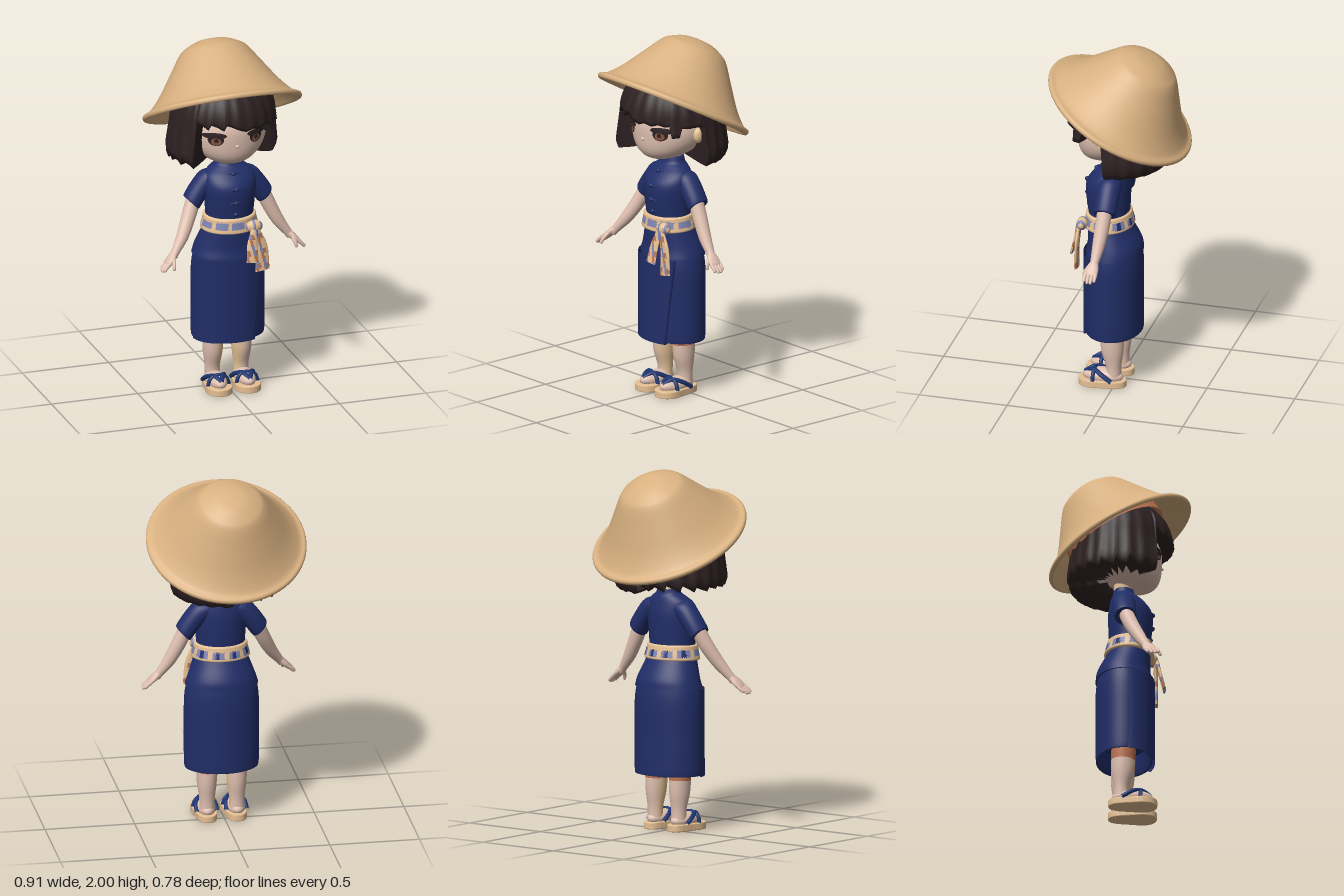
import * as THREE from 'three';
import { mergeVertices } from 'three/addons/utils/BufferGeometryUtils.js';

const mat = (name, color, side = THREE.FrontSide) => {
  const m = new THREE.MeshStandardMaterial({ color, side });
  m.name = name;
  return m;
};
const V = (x, y, z) => new THREE.Vector3(x, y, z);

// Tube of elliptical rings through [x, y, z, radiusA, radiusB], capped at both ends
function sweep(pts, seg = 28, sub = 4) {
  const path = new THREE.CatmullRomCurve3(pts.map(p => V(p[0], p[1], p[2])), false, 'catmullrom');
  const radii = new THREE.CatmullRomCurve3(pts.map(p => V(p[3], p[4] ?? p[3], 0)), false, 'catmullrom');
  const n = (pts.length - 1) * sub;
  const dir = path.getPoint(1).sub(path.getPoint(0)).normalize();
  const a = dir.clone().cross(V(0, 0, 1)).normalize(), b = a.clone().cross(dir);
  const pos = [], idx = [];
  const ring = t => {
    const c = path.getPoint(t), r = radii.getPoint(t);
    for (let j = 0; j < seg; j++) {
      const k = j / seg * Math.PI * 2;
      const p = c.clone().addScaledVector(a, r.x * Math.cos(k)).addScaledVector(b, r.y * Math.sin(k));
      pos.push(p.x, p.y, p.z);
    }
    return c;
  };
  for (let i = 0; i <= n; i++) ring(i / n);
  for (let i = 0; i < n; i++) for (let j = 0; j < seg; j++) {
    const p = i * seg + j, q = i * seg + (j + 1) % seg;
    idx.push(p, p + seg, q, p + seg, q + seg, q);
  }
  for (const end of [0, 1]) {
    const s = pos.length / 3, c = ring(end);
    pos.push(c.x, c.y, c.z);
    for (let j = 0; j < seg; j++) {
      const p = s + j, q = s + (j + 1) % seg;
      idx.push(s + seg, end ? q : p, end ? p : q);
    }
  }
  return build(pos, idx);
}

// Surface over u (rightwards) and v (downwards)
function grid(nu, nv, f) {
  const pos = [], idx = [];
  for (let i = 0; i <= nu; i++) for (let j = 0; j <= nv; j++) pos.push(...f(i / nu, j / nv));
  for (let i = 0; i < nu; i++) for (let j = 0; j < nv; j++) {
    const a = i * (nv + 1) + j, b = a + nv + 1;
    idx.push(a, a + 1, b, a + 1, b + 1, b);
  }
  return build(pos, idx, true);
}

function build(pos, idx, weld) {
  let g = new THREE.BufferGeometry();
  g.setAttribute('position', new THREE.Float32BufferAttribute(pos, 3));
  g.setIndex(idx);
  if (weld) g = mergeVertices(g, 1e-5);
  g.computeVertexNormals();
  return g;
}

// Give every triangle a material index chosen from its centre
function paint(geo, pick) {
  const g = geo.toNonIndexed(), p = g.attributes.position;
  for (let i = 0; i < p.count; i += 3) {
    const c = V(0, 0, 0);
    for (let k = 0; k < 3; k++) c.add(V(p.getX(i + k), p.getY(i + k), p.getZ(i + k)));
    c.divideScalar(3);
    g.addGroup(i, 3, pick(c.x, c.y, c.z));
  }
  return g;
}

export function createModel() {
  const root = new THREE.Group();
  const straw = mat('straw', 0xd8b080, THREE.DoubleSide), hairM = mat('dark hair', 0x2e2122, THREE.DoubleSide);
  const skin = mat('skin', 0xdfc0b0), warm = mat('warm skin', 0xe6c498);
  const shade = mat('terracotta', 0xbd7350, THREE.DoubleSide), navy = mat('navy cloth', 0x212e68, THREE.DoubleSide);
  const cream = mat('cream cloth', 0xe6c093), lilac = mat('lilac cloth', 0x8086b4);
  const brown = mat('brown iris', 0x8a5540, THREE.DoubleSide), deep = mat('strap blue', 0x1d3570);
  const add = (name, geo, m, parent = root) => {
    const o = new THREE.Mesh(geo, m);
    o.name = name;
    parent.add(o);
    return o;
  };
  const ball = (name, m, x, y, z, rx, ry = rx, rz = rx, parent = root) => {
    const o = add(name, new THREE.SphereGeometry(1, 24, 16), m, parent);
    o.position.set(x, y, z);
    o.scale.set(rx, ry, rz);
    return o;
  };

  // Tilted straw hat with its inner band
  const hat = new THREE.Group();
  hat.name = 'hat';
  hat.position.set(-0.01, 1.625, 0);
  hat.rotation.x = -0.504;
  root.add(hat);
  const profile = [[0, .365], [.08, .355], [.17, .31], [.235, .205], [.32, .09], [.4, .015], [.43, -.012], [.443, 0],
    [.436, .018], [.4, .034], [.335, .105], [.252, .225], [.19, .315], [.15, .347], [.08, .377], [0, .385]];
  const curve = new THREE.SplineCurve(profile.map(p => new THREE.Vector2(...p)));
  add('hatShell', new THREE.LatheGeometry(curve.getPoints(75).map(p => p.setX(Math.max(0, p.x))), 64), straw, hat);
  add('hatBand', new THREE.CylinderGeometry(.275, .285, .09, 48, 1, true), shade, hat).position.y = 0.085;

  // Head with the jaw drawn forward
  const rx = .228, ry = .185, rz = .21, cy = 1.53, cz = .02;
  const jaw = y => y < cy ? .09 * ((cy - y) / ry) ** 2 : 0;
  const head = new THREE.SphereGeometry(1, 48, 32).scale(rx, ry, rz).translate(0, cy, cz);
  const hp = head.attributes.position;
  for (let i = 0; i < hp.count; i++) hp.setZ(i, hp.getZ(i) + jaw(hp.getY(i)));
  head.computeVertexNormals();
  add('head', head, skin);
  const faceZ = (x, y) => cz + jaw(y) + rz * Math.sqrt(Math.max(0, 1 - (x / rx) ** 2 - ((y - cy) / ry) ** 2));

  // Face details laid on the head's surface
  const spot = (name, m, x, y, a, b, lift) => {
    const g = new THREE.RingGeometry(0, 1, 28, 5).scale(a, b, 1).translate(x, y, 0), p = g.attributes.position;
    for (let i = 0; i < p.count; i++) p.setZ(i, faceZ(p.getX(i), p.getY(i)) + lift);
    g.computeVertexNormals();
    add(name, g, m);
  };
  for (const s of [-1, 1]) {
    const x = s * .115;
    spot('lash', hairM, x + s * .006, 1.541, .062, .018, .003);
    spot('eye', hairM, x, 1.519, .04, .036, .004);
    spot('iris', brown, x, 1.508, .026, .021, .006);
    spot('pupil', hairM, x, 1.515, .011, .012, .008);
    ball('ear', s > 0 ? warm : shade, s * .232, 1.51, .02, .025, .045, .036);
  }
  ball('nose', skin, 0, 1.475, faceZ(0, 1.475), .012, .009, .01);
  add('neck', sweep([[.008, 1.27, .015, .055], [.004, 1.34, .015, .052], [0, 1.42, .03, .06]]), warm);

  // Bobbed hair: one sheet with a fringe, side locks and a ragged hem
  const hem = s => {
    const jag = Math.abs((s * 3.5) % 1 - .5);
    if (s > -.85 && s < .8) return 1.575 + .035 * jag;
    if (s >= .8 && s < 1) return 1.52;
    if (s >= 1 && s < 1.5) return 1.57;
    return 1.33 + .045 * jag;
  };
  const bob = y => y > 1.6 ? .29 * Math.sqrt(Math.max(0, 1 - ((y - 1.6) / .27) ** 2))
    : y > 1.42 ? .29 + .025 * (1.6 - y) / .18 : .315 - .035 * ((1.42 - y) / .09) ** 2;
  add('hair', grid(128, 26, (u, v) => {
    const s = (u - .5) * Math.PI * 2, b = hem(s);
    const t = Math.min(1, v / .85), k = Math.max(0, (v - .85) / .15);
    const y = 1.87 - (1.87 - b) * (1 - Math.cos(t * Math.PI / 2));
    const r = (bob(y) + .006 * Math.cos(s * 22) * t * t) * (1 - .75 * k);
    return [r * Math.sin(s) - .008, y + .04 * k, r * Math.cos(s) * (Math.cos(s) < 0 ? .92 : 1)];
  }), hairM);

  // Short-sleeved jacket with a flared hem
  const C = .013;
  add('jacket', sweep([[C, .795, .02, .203, .156], [C, .85, .02, .185, .147], [C, .95, .045, .148, .122],
    [C, 1.0, .05, .134, .112], [C, 1.1, .055, .14, .12], [C, 1.2, .055, .148, .122], [C, 1.26, .04, .14, .098],
    [C, 1.295, .025, .105, .075], [C, 1.315, .02, .075, .062], [C, 1.345, .018, .064, .056]], 48), navy);
  for (const [y, z] of [[1.275, .125], [1.2, .178], [1.12, .177], [1.05, .166]]) {
    ball('button', navy, C, y, z, .013);
    ball('buttonLoop', navy, C, y, z - .004, .036, .008, .008);
  }

  // Wrapped skirt, hollow at the hem, with an overlapping front panel
  add('skirt', sweep([[C, .42, .022, .17, .125], [C, .335, .022, .188, .143], [C, .312, .022, .2, .152],
    [C, .34, .022, .207, .157], [C, .55, .022, .208, .157], [C, .72, .022, .206, .157], [C, .82, .022, .19, .146]], 48), navy);
  add('skirtPanel', grid(30, 12, (u, v) => {
    const y = .79 - .485 * v, end = Math.asin((.155 - .05 * v) / .21);
    const s = -1.45 + (end + 1.45) * Math.min(1, u * 1.035);
    const lift = u > .98 ? -.012 : .011 * Math.min(1, u * 3);
    return [C + (.207 + lift) * Math.sin(s), y, .022 + (.157 + lift) * Math.cos(s)];
  }), navy);

  // Checked sash with a knot and two hanging tails
  const cloth = [cream, lilac, shade, navy];
  const belt = sweep([[C, .945, .05, .15, .125], [C, .95, .05, .162, .138], [C, .97, .05, .159, .136], [C, 1.005, .052, .15, .129],
    [C, 1.025, .053, .147, .126], [C, 1.03, .053, .135, .112]], 72, 3);
  add('sash', paint(belt, (x, y, z) => {
    if (y < .967 || y > 1.005) return 0;
    const k = Math.floor((Math.atan2(z - .05, x - C) + Math.PI) / (Math.PI * 2) * 36) % 4;
    return k === 0 ? 0 : k === 2 && z < .05 ? 3 : 1;
  }), cloth);
  const knot = new THREE.SphereGeometry(1, 24, 16).scale(.048, .036, .032).translate(.115, .975, .178);
  add('knot', paint(knot, x => Math.floor(x * 70 + 20) % 3 === 0 ? 1 : 0), cloth);
  const checks = (x, y) => {
    const a = Math.floor((x + y * .25) * 60 + 100) % 3, b = Math.floor(y * 34) % 3;
    return a === 1 ? (b === 0 ? 2 : 1) : a === 2 && b === 1 ? 2 : 0;
  };
  for (const pts of [
    [[.115, .965, .195, .022, .014], [.15, .86, .198, .034, .011], [.155, .72, .2, .042, .01]],
    [[.11, .965, .2, .02, .014], [.09, .88, .22, .03, .01], [.085, .785, .243, .036, .009]],
  ]) add('sashTail', paint(sweep(pts, 32, 12), checks), cloth);

  // Arms, sleeves and hands; the right arm swings forward
  for (const s of [-1, 1]) {
    const swing = s < 0 ? .4 : .03, arm = new THREE.Group();
    arm.name = s > 0 ? 'leftArm' : 'rightArm';
    root.add(arm);
    const at = pts => pts.map(([x, y, z, a, b]) => [C + s * x, y, z + swing * Math.max(0, 1.12 - y), a, b]);
    add('sleeve', sweep(at([[.06, 1.25, .02, .045, .06], [.11, 1.228, .02, .06, .065], [.165, 1.17, .02, .058, .064],
      [.21, 1.105, .02, .056, .062], [.213, 1.1, .02, .048, .053]])), navy, arm);
    add('forearm', sweep(at([[.19, 1.14, .022, .042], [.24, 1.03, .025, .04], [.29, .935, .03, .034], [.34, .865, .035, .024],
      [.36, .84, .037, .024]])), skin, arm);
    add('palm', sweep(at([[.345, .862, .036, .02, .024], [.37, .837, .04, .019, .036], [.395, .812, .042, .014, .036],
      [.402, .805, .042, .007, .026]])), skin, arm);
    for (let i = 0; i < 4; i++) {
      const z = .014 + i * .019, l = [.8, 1, 1, .85][i];
      add('finger', sweep(at([[.39, .818, z, .011], [.39 + .025 * l, .818 - .022 * l, z, .01],
        [.39 + .042 * l, .818 - .04 * l, z, .008], [.39 + .046 * l, .818 - .044 * l, z, .003]]), 12), skin, arm);
    }
    add('thumb', sweep(at([[.36, .845, .06, .012], [.37, .815, .08, .011], [.375, .79, .086, .008], [.376, .785, .086, .003]]), 12), skin, arm);
  }

  // Legs, feet and strapped sandals
  for (const s of [-1, 1]) {
    const leg = new THREE.Group();
    leg.name = s > 0 ? 'leftLeg' : 'rightLeg';
    leg.position.x = C + s * .083;
    root.add(leg);
    add('shin', paint(sweep([[0, .05, .005, .042], [0, .12, .005, .043], [0, .21, .012, .054, .062], [0, .3, .015, .058, .066],
      [0, .45, .02, .062, .068]], 32, 6), (x, y, z) => y > .285 ? 2 : x * s < -.015 && z > -.02 ? 1 : 0), [skin, warm, shade], leg);
    ball('foot', skin, 0, .055, .065, .054, .045, .115, leg);
    const sole = new THREE.Shape();
    sole.moveTo(0, .062);
    sole.bezierCurveTo(.06, .062, .05, -.03, .066, -.1);
    sole.bezierCurveTo(.085, -.23, -.085, -.23, -.066, -.1);
    sole.bezierCurveTo(-.05, -.03, -.06, .062, 0, .062);
    const soleGeo = new THREE.ExtrudeGeometry(sole, { depth: .03, bevelSize: .005, bevelThickness: .005, bevelSegments: 2, curveSegments: 16 });
    add('sole', soleGeo.rotateX(-Math.PI / 2).translate(0, .005, 0), cream, leg);
    for (const k of [-1, 1]) {
      const strap = new THREE.CatmullRomCurve3([V(0, .068, .165), V(k * .022, .093, .115), V(k * .05, .075, .06), V(k * .056, .04, .005)]);
      add('strap', new THREE.TubeGeometry(strap, 16, .013, 8), deep, leg);
    }
    const band = new THREE.CatmullRomCurve3([V(-.062, .035, .11), V(-.045, .078, .11), V(0, .098, .11), V(.045, .078, .11), V(.062, .035, .11)]);
    add('crossStrap', new THREE.TubeGeometry(band, 20, .011, 8), deep, leg);
  }
  return root;
}
